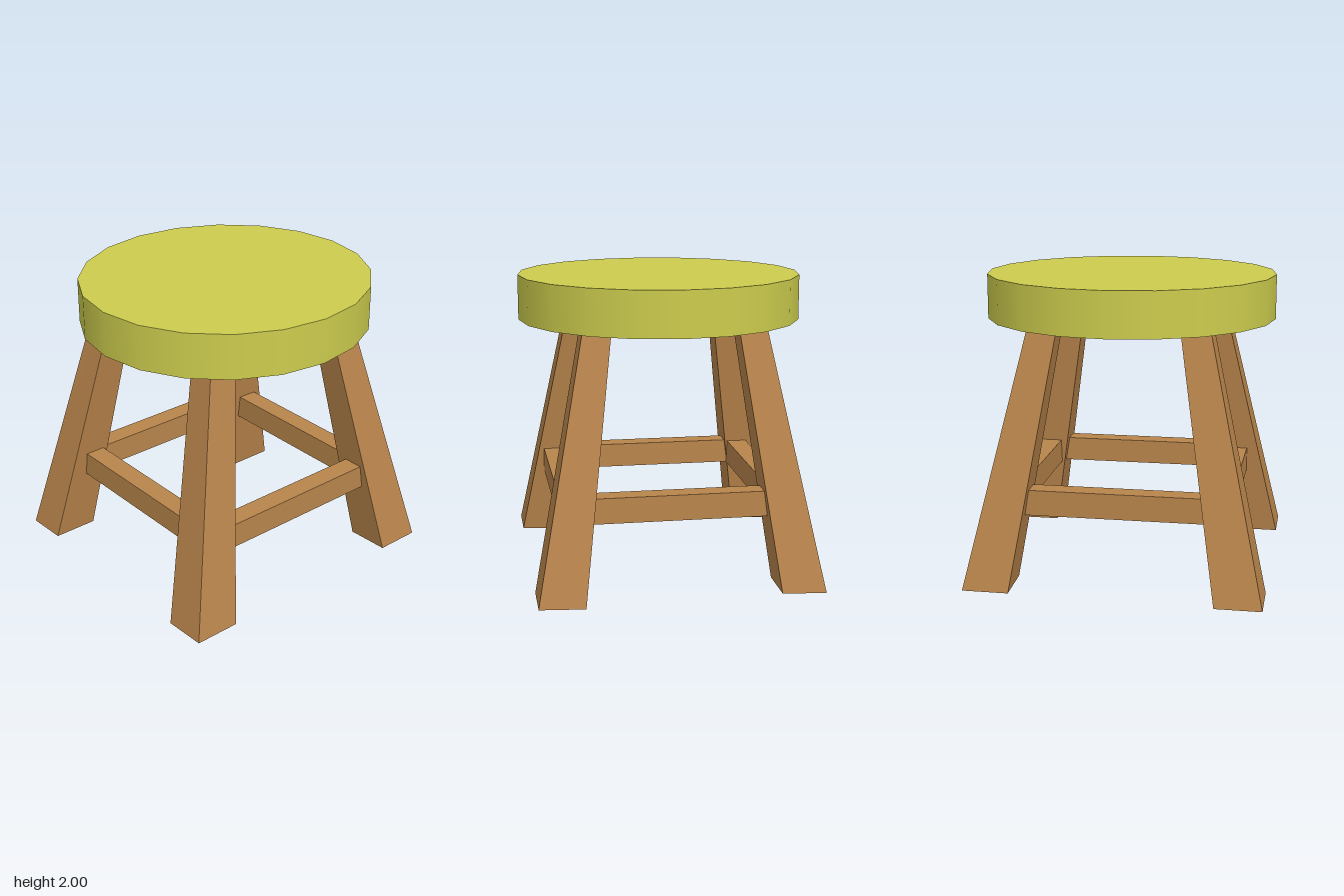
import * as THREE from 'three';

const SEAT_BOTTOM = 1.7;

// Tapered splayed leg: foot and head are [xMin, xMax, zMin, zMax]
function legGeometry(foot, head) {
  const geo = new THREE.BoxGeometry(1, 1, 1);
  const p = geo.attributes.position;
  for (let i = 0; i < p.count; i++) {
    const top = p.getY(i) > 0;
    const r = top ? head : foot;
    const front = p.getZ(i) > 0;
    // the feet are cut at a very slight slope
    const y = top ? SEAT_BOTTOM + 0.01 : front ? 0.013 : 0;
    p.setXYZ(i, p.getX(i) > 0 ? r[1] : r[0], y, front ? r[3] : r[2]);
  }
  geo.computeVertexNormals();
  return geo;
}

export function createModel() {
  const stool = new THREE.Group();
  stool.name = 'stool';

  const seatPaint = new THREE.MeshStandardMaterial({ color: 0xcccc4e });
  seatPaint.name = 'yellowGreenSeat';
  const wood = new THREE.MeshStandardMaterial({ color: 0xb9854c });
  wood.name = 'brownWood';

  const add = (name, geometry, material) => {
    const mesh = new THREE.Mesh(geometry, material);
    mesh.name = name;
    stool.add(mesh);
    return mesh;
  };

  // Round seat, twenty sides with smooth rim
  const seat = new THREE.CylinderGeometry(0.98, 0.98, 0.3, 20);
  seat.scale(1, 1, 0.97);
  add('seat', seat, seatPaint).position.set(0, SEAT_BOTTOM + 0.15, 0.018);

  // Four legs, each set by hand a little differently
  const legs = [
    ['frontLeftLeg', [0.69, 1.0, 0.64, 0.94], [0.41, 0.605, 0.415, 0.6]],
    ['frontRightLeg', [-0.99, -0.68, 0.64, 0.935], [-0.605, -0.41, 0.415, 0.6]],
    ['backLeftLeg', [0.66, 0.97, -0.935, -0.64], [0.385, 0.58, -0.6, -0.415]],
    ['backRightLeg', [-1.0, -0.69, -0.972, -0.675], [-0.615, -0.42, -0.632, -0.445]],
  ];
  for (const [name, foot, head] of legs) add(name, legGeometry(foot, head), wood);

  // Four stretchers joining the legs
  const rails = [
    ['frontStretcher', 1.34, 0.14, 0, 0.705],
    ['backStretcher', 1.34, 0.14, 0, -0.675],
    ['leftStretcher', 0.14, 1.34, 0.7, 0],
    ['rightStretcher', 0.14, 1.34, -0.695, 0],
  ];
  for (const [name, w, d, x, z] of rails) {
    add(name, new THREE.BoxGeometry(w, 0.17, d), wood).position.set(x, 0.565, z);
  }

  return stool;
}
